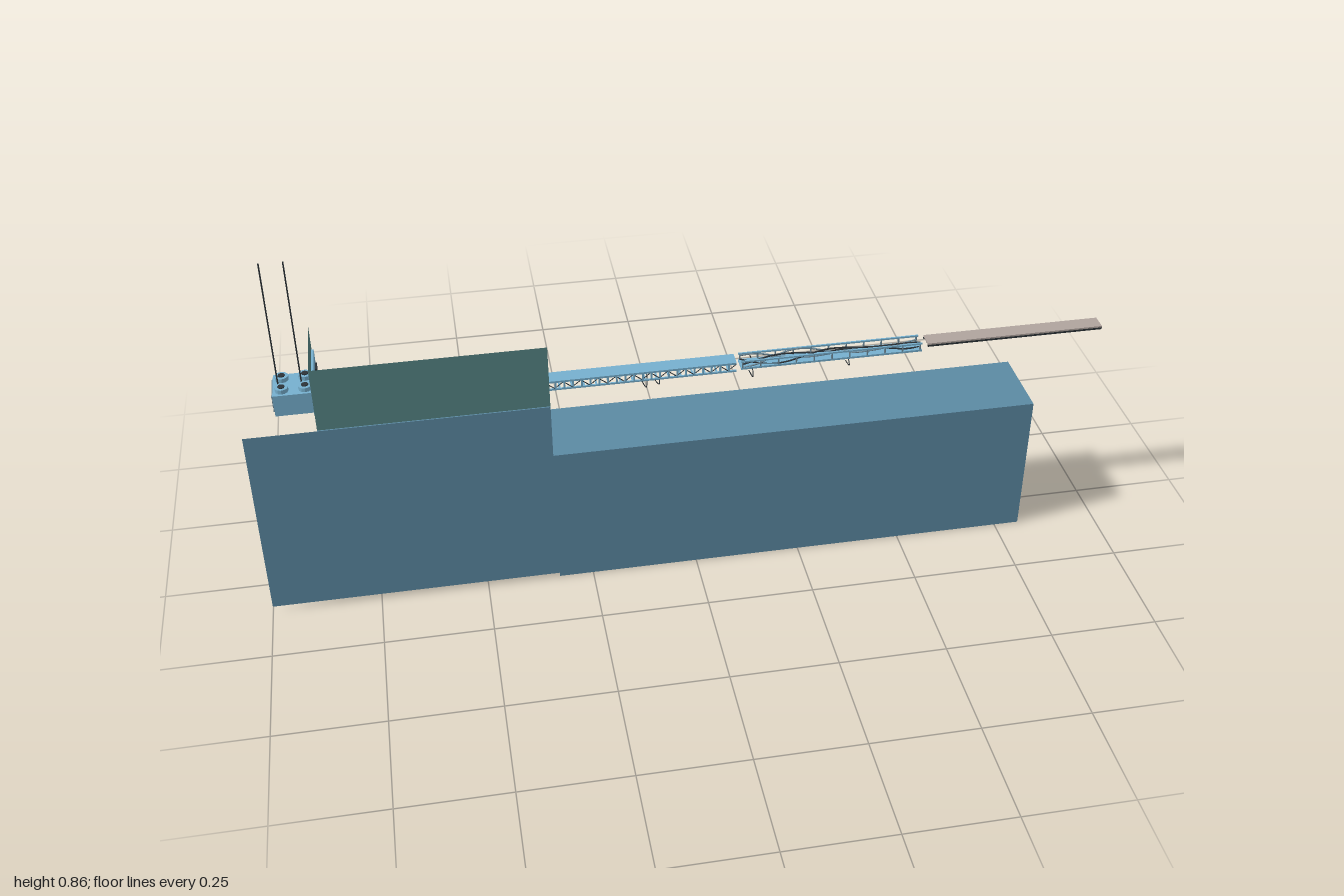
import * as THREE from 'three';

const mat = (color) => new THREE.MeshStandardMaterial({ color, side: THREE.DoubleSide, flatShading: true });
const M = {
  wall: mat(0x5b8aa3), green: mat(0x568585), light: mat(0x76b0cf), grey: mat(0xb0a49e),
  dark: mat(0x2c3338), steel: mat(0x6f8b9a), leaf: mat(0x6fa05a),
};

export function createModel() {
  const root = new THREE.Group();
  const group = (name) => {
    const g = new THREE.Group();
    g.name = name;
    root.add(g);
    return g;
  };
  const add = (parent, name, geo, m) => {
    const mesh = new THREE.Mesh(geo, m);
    mesh.name = name;
    parent.add(mesh);
    return mesh;
  };
  // Box given by its lower and upper corners
  const box = (p, name, x0, x1, y0, y1, z0, z1, m) => {
    const b = add(p, name, new THREE.BoxGeometry(x1 - x0, y1 - y0, z1 - z0), m);
    b.position.set((x0 + x1) / 2, (y0 + y1) / 2, (z0 + z1) / 2);
    return b;
  };
  // Flat outline standing in the xy plane at depth z
  const sheet = (p, name, pts, z, m) => {
    const s = new THREE.Shape(pts.map(([x, y]) => new THREE.Vector2(x, y)));
    add(p, name, new THREE.ShapeGeometry(s), m).position.z = z;
  };
  const floor = (p, name, x0, x1, y, m) => {
    const f = add(p, name, new THREE.PlaneGeometry(x1 - x0, 0.183), m);
    f.rotation.x = -Math.PI / 2;
    f.position.set((x0 + x1) / 2, y, 0.0015);
  };
  const cross = (p, name, x, y0, y1, m) => {
    const w = add(p, name, new THREE.PlaneGeometry(0.183, y1 - y0), m);
    w.rotation.y = Math.PI / 2;
    w.position.set(x, (y0 + y1) / 2, 0.0015);
  };
  const tube = (p, name, pts, r, m, n = 24) => {
    const c = new THREE.CatmullRomCurve3(pts.map((q) => new THREE.Vector3(...q)));
    add(p, name, new THREE.TubeGeometry(c, n, r, 5), m);
  };
  const bar = (p, name, a, b, r, m) => {
    const line = new THREE.LineCurve3(new THREE.Vector3(...a), new THREE.Vector3(...b));
    add(p, name, new THREE.TubeGeometry(line, 1, r, 4), m);
  };

  // Stepped building: front wall, two roofs, riser and thin rear lip
  const building = group('building');
  sheet(building, 'frontWall',
    [[-1, 0.01], [-0.33, 0.01], [-0.33, 0], [0.81, 0], [0.81, 0.357], [-0.33, 0.357], [-0.33, 0.492], [-1, 0.492]],
    0.093, M.wall);
  floor(building, 'lowerRoof', -0.33, 0.81, 0.357, M.wall);
  floor(building, 'upperRoof', -0.84, -0.33, 0.492, M.wall);
  cross(building, 'riser', -0.33, 0.357, 0.492, M.wall);
  sheet(building, 'rearLip',
    [[-0.84, 0.492], [-0.84, 0.465], [-0.37, 0.465], [-0.37, 0.327], [0.81, 0.327], [0.81, 0.357], [-0.33, 0.357], [-0.33, 0.492]],
    -0.09, M.wall);

  // Parapet around the upper roof
  const parapet = group('parapet');
  sheet(parapet, 'frontScreen', [[-0.84, 0.492], [-0.33, 0.492], [-0.33, 0.648], [-0.84, 0.648]], 0.09, M.green);
  cross(parapet, 'endScreen', -0.84, 0.492, 0.648, M.green);

  // End panel with an outdoor cooling unit and two aerials
  const unit = group('coolingUnit');
  box(unit, 'endPanel', -0.846, -0.834, 0.492, 0.6, -0.07, 0.028, M.light);
  box(unit, 'panelSign', -0.834, -0.83, 0.564, 0.577, -0.05, -0.025, M.dark);
  box(unit, 'panelFrame', -0.834, -0.829, 0.5, 0.548, -0.062, 0.018, M.light);
  box(unit, 'unitBody', -0.93, -0.846, 0.492, 0.545, -0.065, 0.02, M.light);
  for (const x of [-0.918, -0.867]) {
    for (const z of [-0.045, 0]) {
      const fan = add(unit, 'fan', new THREE.CylinderGeometry(0.015, 0.015, 0.01, 12), M.light);
      fan.position.set(x + 0.008, 0.55, z);
      const hub = add(unit, 'fanHub', new THREE.CylinderGeometry(0.008, 0.008, 0.002, 8), M.dark);
      hub.position.set(x + 0.008, 0.556, z);
    }
    box(unit, 'aerial', x - 0.0015, x + 0.0015, 0.545, 0.855, -0.0235, -0.0205, M.dark);
  }
  for (let i = 0; i < 4; i++) {
    box(unit, 'louvre', -0.933, -0.93, 0.5 + i * 0.011, 0.506 + i * 0.011, -0.058, 0.013, M.steel);
  }

  // Goods left on the upper roof
  const goods = group('roofGoods');
  box(goods, 'slab', -0.482, -0.405, 0.496, 0.504, -0.05, 0.002, M.grey);
  box(goods, 'smallCrate', -0.45, -0.43, 0.504, 0.53, -0.043, -0.024, M.grey);
  for (const z of [-0.045, -0.024, -0.004]) box(goods, 'slabFoot', -0.482, -0.405, 0.492, 0.496, z - 0.003, z + 0.003, M.grey);
  box(goods, 'pallet', -0.435, -0.355, 0.494, 0.501, 0.035, 0.087, M.grey);
  for (let lvl = 0; lvl < 3; lvl++) {
    for (let i = 0; i < 3; i++) {
      for (let j = 0; j < 2; j++) {
        if (lvl === 2 && i === 2) continue;
        const x = -0.432 + i * 0.025, z = 0.038 + j * 0.024 + (lvl % 2) * 0.002;
        box(goods, 'carton', x, x + 0.022, 0.501 + lvl * 0.022, 0.522 + lvl * 0.022, z, z + 0.021, M.grey);
      }
    }
  }
  for (let i = 0; i < 2; i++) {
    for (let j = 0; j < 2; j++) {
      const x = -0.832 + i * 0.025, z = 0.042 + j * 0.02;
      box(goods, 'endCrate', x, x + 0.02, 0.492, 0.525 + j * 0.02, z, z + 0.016, M.grey);
    }
  }
  box(goods, 'bench', -0.76, -0.7, 0.492, 0.51, 0.068, 0.084, M.grey);

  // Row of potted plants
  const plants = group('plants');
  for (let i = 0; i < 6; i++) {
    const x = -0.68 + i * 0.027, z = 0.058 - i * 0.006, h = 0.02 + (i % 3) * 0.006;
    const pot = add(plants, 'pot', new THREE.CylinderGeometry(0.009, 0.006, 0.016, 8), M.light);
    pot.position.set(x, 0.5, z);
    for (let k = 0; k < 4; k++) {
      const a = k * 1.57 + i, c = Math.cos(a), s = Math.sin(a);
      tube(plants, 'stem', [[x, 0.508, z], [x + c * 0.005, 0.508 + h, z + s * 0.005], [x + c * 0.014, 0.505 + h, z + s * 0.014]],
        0.0015, k % 2 ? M.leaf : M.steel, 6);
    }
  }

  // Footbridge: lattice span, cable-wrapped span and plain end span
  const bridge = group('bridge');
  const Z0 = -0.043, Z1 = -0.005;
  box(bridge, 'latticeDeck', -0.33, 0.112, 0.488, 0.493, Z0, Z1, M.light);
  box(bridge, 'wrappedDeck', 0.123, 0.556, 0.472, 0.477, Z0, Z1, M.light);
  box(bridge, 'endDeck', 0.57, 1, 0.488, 0.492, Z0, Z1, M.grey);
  for (const z of [Z0 + 0.002, Z1 - 0.002]) {
    box(bridge, 'lowerChord', -0.33, 0.112, 0.468, 0.472, z - 0.002, z + 0.002, M.light);
    box(bridge, 'upperRail', 0.123, 0.556, 0.491, 0.495, z - 0.002, z + 0.002, M.light);
    box(bridge, 'endEdge', 0.57, 1, 0.483, 0.488, z - 0.002, z + 0.002, M.dark);
    const n = 22, step = 0.442 / n;
    for (let i = 0; i < n; i++) {
      const x = -0.33 + i * step;
      box(bridge, 'post', x, x + 0.004, 0.472, 0.488, z - 0.002, z + 0.002, M.light);
      bar(bridge, 'brace', [x, i % 2 ? 0.472 : 0.488, z], [x + step, i % 2 ? 0.488 : 0.472, z], 0.0012, M.dark);
    }
    for (let i = 0; i <= 10; i++) {
      const x = 0.125 + i * 0.0425;
      box(bridge, 'railPost', x, x + 0.003, 0.477, 0.491, z - 0.002, z + 0.002, M.steel);
    }
  }
  for (let i = 0; i < 16; i++) {
    const x = 0.572 + i * 0.028;
    box(bridge, 'endCrossbar', x, x + 0.004, 0.484, 0.488, Z0, Z1, M.dark);
    box(bridge, 'latticeCrossbar', x - 0.9, x - 0.896, 0.468, 0.471, Z0, Z1, M.light);
  }
  // Cables winding along the middle span
  for (let k = 0; k < 4; k++) {
    const pts = [];
    for (let i = 0; i <= 12; i++) {
      const t = i * 0.9 + k * 1.6;
      pts.push([0.125 + i * 0.0357, 0.485 + 0.009 * Math.sin(t), -0.024 + 0.017 * Math.cos(t * 0.7 + k)]);
    }
    tube(bridge, 'windingCable', pts, 0.002, k % 2 ? M.steel : M.dark, 60);
  }
  // Loose cables hanging beneath
  for (const [x, d] of [[-0.11, 0.018], [-0.08, 0.012], [0.14, 0.02], [0.37, 0.014]]) {
    tube(bridge, 'hangingCable', [[x, 0.472, 0], [x + 0.008, 0.472 - d * 0.8, 0.004], [x + 0.015, 0.47 - d, -0.025],
      [x + 0.018, 0.472 - d * 0.5, -0.05], [x + 0.012, 0.482, -0.046]], 0.0012, M.dark);
  }
  return root;
}
